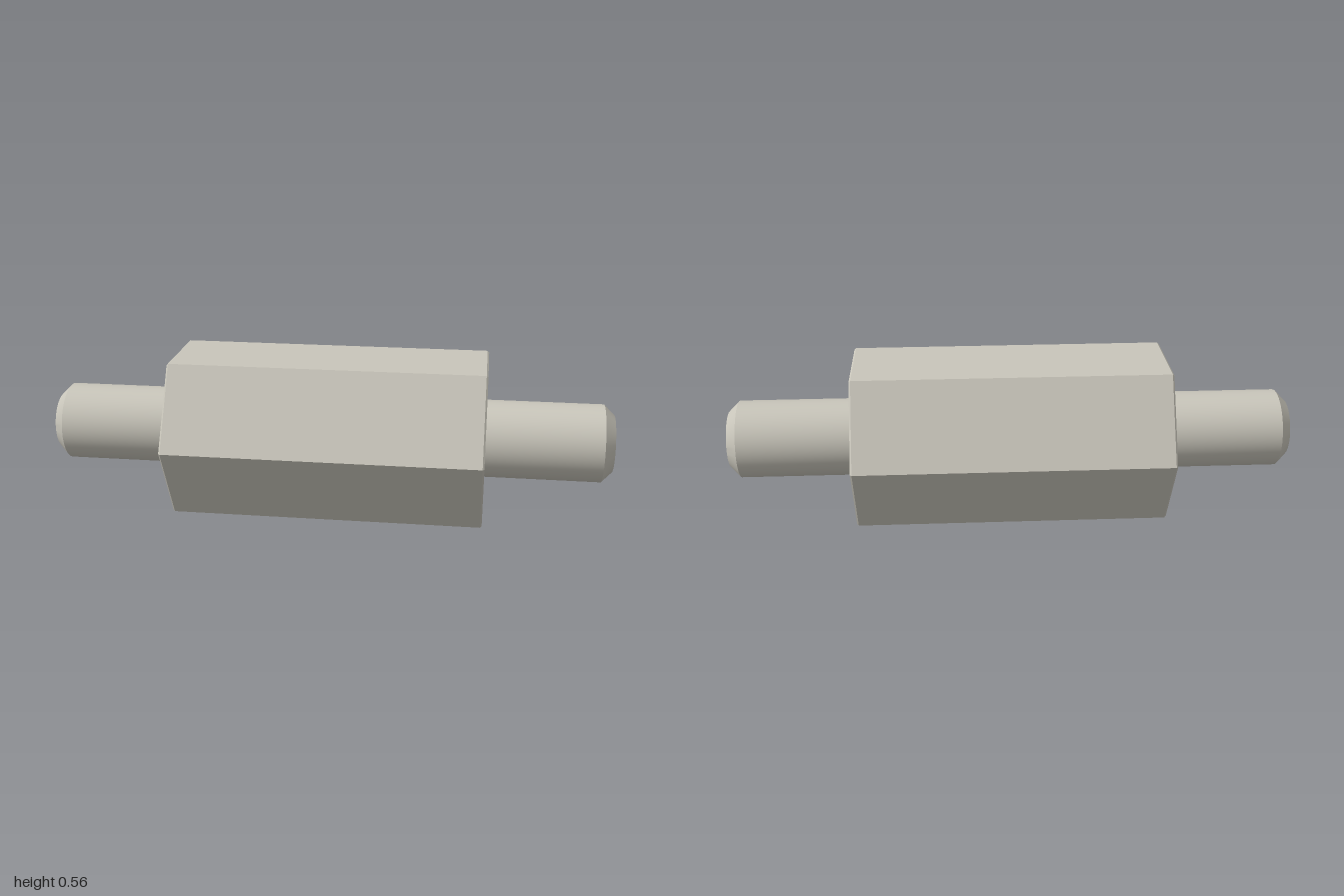
import * as THREE from 'three';
import { toCreasedNormals } from 'three/addons/utils/BufferGeometryUtils.js';

const HALF_BODY = 0.556, HALF_TOTAL = 1.0;
const HEX_RADIUS = 0.321, HEX_CHAMFER = 0.006;
const PIN_RADIUS = 0.1375, PIN_CHAMFER = 0.037;
const CENTRE_Y = HEX_RADIUS * Math.cos(Math.PI / 6);

// Turns a [radius, position] profile about the x axis, keeping hard edges sharp
function turned(name, profile, sides, crease, material) {
  const points = profile.map(([r, a]) => new THREE.Vector2(r, a));
  const geometry = toCreasedNormals(new THREE.LatheGeometry(points, sides), crease);
  geometry.rotateZ(-Math.PI / 2);
  const mesh = new THREE.Mesh(geometry, material);
  mesh.name = name;
  return mesh;
}

export function createModel() {
  const steel = new THREE.MeshStandardMaterial({ color: 0xc8c5ba });
  steel.name = 'warm grey metal';

  const model = new THREE.Group();
  model.name = 'hexStandoff';

  // Hexagonal body with a fine chamfer on both ends
  const inner = HEX_RADIUS - HEX_CHAMFER;
  model.add(turned('hexBody', [
    [0, -HALF_BODY], [inner, -HALF_BODY], [HEX_RADIUS, -HALF_BODY + HEX_CHAMFER],
    [HEX_RADIUS, HALF_BODY - HEX_CHAMFER], [inner, HALF_BODY], [0, HALF_BODY],
  ], 6, 0.1, steel));

  // Round pins with chamfered tips, one at each end
  for (const side of [1, -1]) {
    const pin = turned(side > 0 ? 'leftPin' : 'rightPin', [
      [PIN_RADIUS, HALF_BODY - 0.01], [PIN_RADIUS, HALF_TOTAL - PIN_CHAMFER],
      [PIN_RADIUS - PIN_CHAMFER, HALF_TOTAL], [0, HALF_TOTAL],
    ], 64, 0.5, steel);
    if (side < 0) pin.rotation.y = Math.PI;
    model.add(pin);
  }

  // The part lies on a flat, turned slightly about the vertical
  model.rotation.y = THREE.MathUtils.degToRad(-12);
  model.position.y = CENTRE_Y;

  const root = new THREE.Group();
  root.name = 'model';
  root.add(model);
  return root;
}
